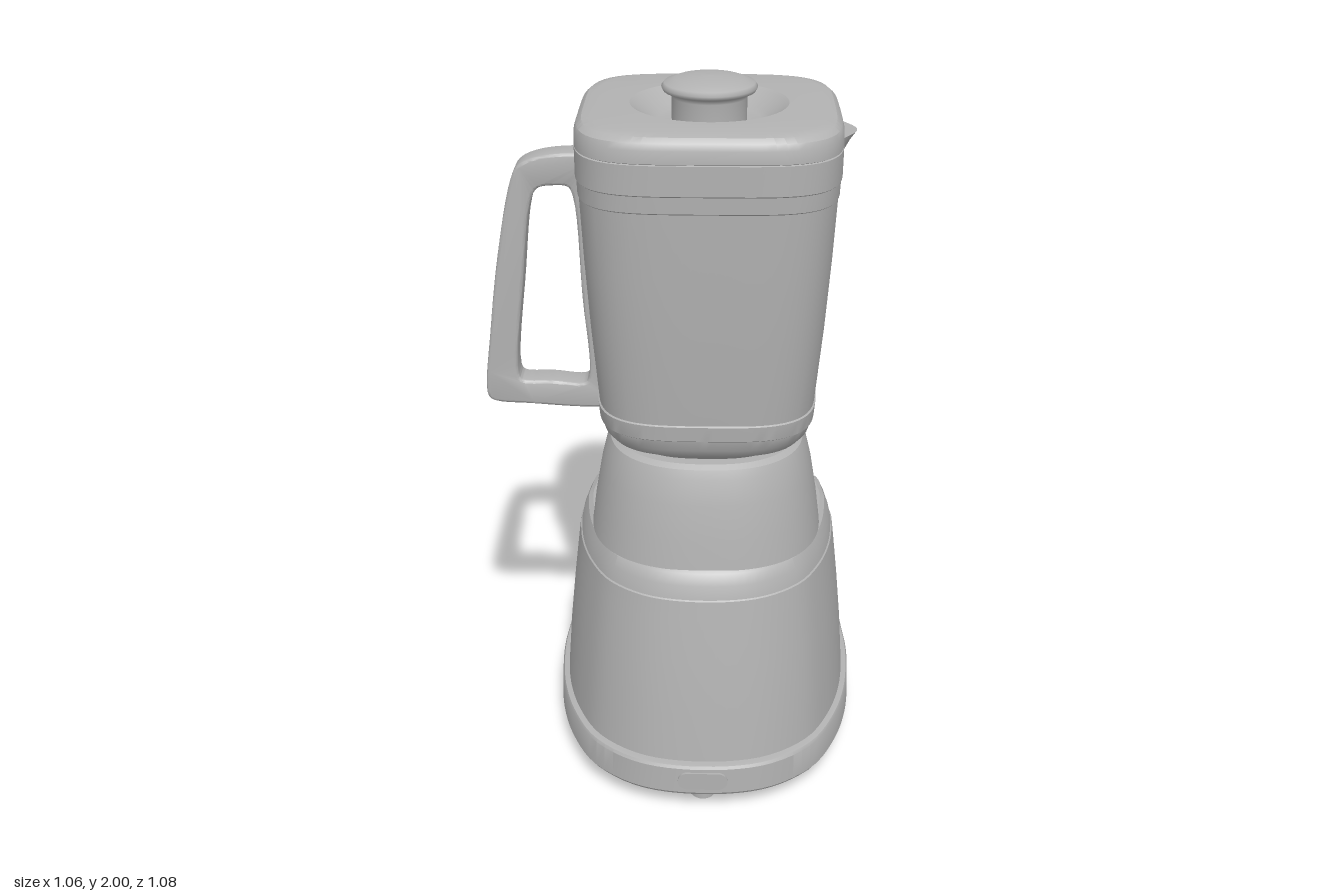
import * as THREE from 'three';
import { toCreasedNormals } from 'three/addons/utils/BufferGeometryUtils.js';

const CX = 0.082, CZ = 0.078; // jar axis
const V = (x, y, z) => new THREE.Vector3(x, y, z);
const lerp = THREE.MathUtils.lerp;

// Skin a stack of equal-length rings; optional end caps
function loft(rings, capBottom = true, capTop = true, crease = 0.5) {
  const n = rings[0].length, pos = [], idx = [];
  rings.forEach(r => r.forEach(p => pos.push(p.x, p.y, p.z)));
  for (let i = 0; i < rings.length - 1; i++) {
    for (let j = 0; j < n; j++) {
      const k = (j + 1) % n, a = i * n + j, b = i * n + k;
      idx.push(a, a + n, b, b, a + n, b + n);
    }
  }
  const cap = (start, ring, up) => {
    const c = ring.reduce((s, p) => s.add(p), V(0, 0, 0)).divideScalar(n);
    const ci = pos.length / 3;
    pos.push(c.x, c.y, c.z);
    for (let j = 0; j < n; j++) {
      const a = start + j, b = start + (j + 1) % n;
      if (up) idx.push(ci, b, a); else idx.push(ci, a, b);
    }
  };
  if (capBottom) cap(0, rings[0], false);
  if (capTop) cap((rings.length - 1) * n, rings[rings.length - 1], true);
  const g = new THREE.BufferGeometry();
  g.setAttribute('position', new THREE.Float32BufferAttribute(pos, 3));
  g.setIndex(idx);
  return toCreasedNormals(g, crease);
}

// Superellipse ring: power 2 is a circle, higher is squarer
function squircle(y, hx, hz, power, cx = CX, cz = CZ, n = 96) {
  return Array.from({ length: n }, (_, i) => {
    const t = i / n * Math.PI * 2, c = Math.cos(t), s = Math.sin(t);
    const r = (Math.abs(c) ** power + Math.abs(s) ** power) ** (-1 / power);
    return V(cx + hx * r * c, y, cz + hz * r * s);
  });
}

// Smooth closed outline from half a plan (back to front), mirrored about x
function outline(half, n = 96) {
  const mirror = half.slice(1, -1).reverse().map(([x, z]) => [-x, z]);
  const pts = [...half, ...mirror].map(([x, z]) => V(x, 0, z));
  return new THREE.CatmullRomCurve3(pts, true, 'centripetal').getSpacedPoints(n).slice(0, n);
}

export function createModel() {
  const root = new THREE.Group();
  const grey = new THREE.MeshStandardMaterial({ color: 0xb2b2b2 });
  const greySheet = new THREE.MeshStandardMaterial({ color: 0xb2b2b2, side: THREE.DoubleSide });
  const add = (name, geo, mat = grey) => {
    const m = new THREE.Mesh(geo, mat);
    m.name = name;
    root.add(m);
    return m;
  };

  // Base: skirt and body share one footprint, scaled per level
  const foot = outline([[0, -0.54], [0.27, -0.508], [0.35, -0.48], [0.415, -0.4], [0.438, -0.21],
    [0.444, -0.07], [0.426, 0.13], [0.381, 0.285], [0.311, 0.41], [0.18, 0.505], [0, 0.535]]);
  const level = ([y, w, front, back]) => foot.map(p =>
    V(CX + p.x * w / 0.444, y, p.z > 0 ? p.z * front / 0.535 : p.z * back / 0.54));
  add('skirt', loft([[0.06, 0.438, 0.53, 0.536], [0.068, 0.444, 0.535, 0.54], [0.145, 0.441, 0.532, 0.524],
    [0.153, 0.437, 0.527, 0.52], [0.155, 0.43, 0.518, 0.515]].map(level)));
  add('body', loft([[0.15, 0.422, 0.507, 0.485], [0.3, 0.411, 0.49, 0.42], [0.45, 0.396, 0.47, 0.355],
    [0.58, 0.381, 0.45, 0.295], [0.638, 0.374, 0.441, 0.272], [0.641, 0.37, 0.437, 0.27],
    [0.68, 0.362, 0.428, 0.255], [0.71, 0.349, 0.413, 0.245], [0.72, 0.335, 0.4, 0.235]].map(level)));

  // Control console blending into the back of the body
  const consoleRing = ([y, rear, valley]) => {
    const r = -rear, v = -valley, w = lerp(1.16, 1, y / 0.72);
    return outline([[0, r], [0.2 * w, r + 0.015], [0.24 * w, lerp(r + 0.03, v, 0.3)],
      [0.258 * w, lerp(r + 0.03, v, 0.75)], [0.31, v + 0.03], [0.3, v + 0.15], [0, v + 0.16]])
      .map(p => V(CX + p.x, y, p.z));
  };
  const consoleRings = [[0.07, 0.537, 0.5], [0.155, 0.522, 0.48], [0.4, 0.49, 0.375], [0.6, 0.462, 0.29],
    [0.66, 0.452, 0.265], [0.7, 0.441, 0.25], [0.716, 0.43, 0.243], [0.722, 0.418, 0.24]].map(consoleRing);
  add('console', loft(consoleRings, true, false));

  // Console top with a sunken display tray
  const rim = squircle(0.722, 0.103, 0.055, 7, CX, -0.34, 48);
  const floor = squircle(0.692, 0.082, 0.04, 7, CX, -0.342, 48);
  const flat = ring => ring.map(p => new THREE.Vector2(p.x, -p.z));
  const topShape = new THREE.Shape(flat(consoleRings[consoleRings.length - 1]));
  topShape.holes.push(new THREE.Path(flat(rim)));
  add('consoleTop', new THREE.ShapeGeometry(topShape).rotateX(-Math.PI / 2).translate(0, 0.722, 0));
  add('displayTray', loft([rim, floor], false, true));
  add('display', new THREE.BoxGeometry(0.142, 0.008, 0.054)).position.set(CX, 0.695, -0.343);

  // Raised control panel following the curved back
  const rearZ = y => -lerp(0.536, 0.462, (y - 0.08) / 0.52);
  const panel = new THREE.PlaneGeometry(2, 1, 16, 8), pp = panel.attributes.position;
  for (let i = 0; i < pp.count; i++) {
    const v = pp.getY(i) + 0.5, y = lerp(0.085, 0.61, v), x = pp.getX(i) * lerp(0.272, 0.2, v);
    pp.setXYZ(i, CX - x, y, rearZ(y) + 0.375 * x * x - 0.007);
  }
  panel.computeVertexNormals();
  add('controlPanel', panel, greySheet);

  // Domed buttons with small indicator dots
  const buttonGeo = new THREE.LatheGeometry([[1, 0], [1, 0.55], [0.88, 0.8], [0.5, 0.95], [0, 1]]
    .map(([x, y]) => new THREE.Vector2(x, y)), 28);
  const button = (name, x, y, rx, ry, h) => {
    const m = add(name, buttonGeo);
    m.position.set(CX + x, y, rearZ(y) + 0.375 * x * x);
    m.rotation.x = -(Math.PI / 2 - 0.14);
    m.scale.set(rx, h, ry);
  };
  [[0.505, 0.086, 0.046, 0.03], [0.375, 0.066, 0.036, 0.026], [0.25, 0.066, 0.036, 0.026]]
    .forEach(([y, x, rx, ry]) => [-1, 1].forEach(s => {
      button('button', s * x, y, rx, ry, 0.036);
      button('indicatorDot', s * x - 0.058, y + 0.025, 0.006, 0.006, 0.012);
    }));

  // Cord slot on the front of the skirt
  const slot = new THREE.Shape();
  slot.absarc(0.043, 0, 0.027, -Math.PI / 2, Math.PI / 2);
  slot.absarc(-0.043, 0, 0.027, Math.PI / 2, Math.PI * 1.5);
  add('cordSlot', new THREE.ExtrudeGeometry(slot, { depth: 0.009, bevelEnabled: false }))
    .position.set(CX, 0.108, 0.528);

  // Feet
  [[0, 0.44], [-0.285, 0.31], [0.285, 0.31], [-0.285, -0.36], [0.285, -0.36]].forEach(([x, z]) =>
    add('foot', new THREE.CylinderGeometry(0.034, 0.034, 0.07, 24)).position.set(CX + x, 0.035, z));

  // Neck, jar and lid: stacked rings of [height, half width, squareness]
  const stack = list => loft(list.map(([y, h, p]) => squircle(y, h, h, p)));
  add('neck', stack([[0.715, 0.326, 2.4], [0.8, 0.315, 2.4], [0.9, 0.298, 2.4], [0.97, 0.281, 2.4],
    [0.995, 0.271, 2.4], [1.005, 0.255, 2.4]]));
  add('jar', stack([[1.0, 0.215, 2.6], [1.015, 0.235, 2.8], [1.035, 0.268, 3.1], [1.06, 0.285, 3.3],
    [1.09, 0.292, 3.5], [1.093, 0.296, 3.5], [1.135, 0.3, 3.5], [1.138, 0.296, 3.5], [1.35, 0.314, 3.7],
    [1.55, 0.327, 3.9], [1.732, 0.336, 4.1], [1.735, 0.339, 4.1], [1.778, 0.341, 4.1],
    [1.781, 0.344, 4.1], [1.858, 0.345, 4.1], [1.861, 0.338, 4.1]]));
  add('lid', stack([[1.858, 0.338, 4.1], [1.862, 0.345, 4.1], [1.895, 0.344, 4.1], [1.912, 0.338, 4.1],
    [1.924, 0.325, 4.1], [1.93, 0.3, 4], [1.931, 0.207, 2], [1.925, 0.197, 2], [1.895, 0.155, 2],
    [1.885, 0.135, 2], [1.885, 0.09, 2]]));
  add('lidKnob', new THREE.LatheGeometry([[0.098, 1.88], [0.098, 1.945], [0.105, 1.957], [0.12, 1.962],
    [0.125, 1.972], [0.118, 1.982], [0.09, 1.992], [0.045, 1.998], [0, 2]]
    .map(([x, y]) => new THREE.Vector2(x, y)), 48)).position.set(CX, 0, CZ);

  // Pouring spout: pointed at the top, fading into the jar below
  const spoutRing = (y, tip) => Array.from({ length: 25 }, (_, i) => {
    const t = i / 12 - 1;
    return V(0.405 + tip * (0.5 + 0.5 * Math.cos(Math.PI * t)) ** 1.2, y, CZ + 0.16 * t);
  });
  add('spout', loft([[1.783, 0.015], [1.81, 0.028], [1.84, 0.046], [1.86, 0.062]]
    .map(([y, t]) => spoutRing(y, t))));

  // Handle with a rounded opening
  const loop = (Type, pts) => {
    const curve = new THREE.CatmullRomCurve3(pts.map(([x, y]) => V(x, y, 0)), true, 'centripetal');
    return new Type(curve.getPoints(80).slice(0, 80).map(p => new THREE.Vector2(p.x, p.y)));
  };
  const grip = loop(THREE.Shape, [[-0.22, 1.785], [-0.27, 1.793], [-0.37, 1.782], [-0.415, 1.76], [-0.434, 1.72],
    [-0.475, 1.52], [-0.505, 1.3], [-0.522, 1.11], [-0.512, 1.097], [-0.4, 1.087], [-0.24, 1.079],
    [-0.19, 1.085], [-0.185, 1.11], [-0.2, 1.4], [-0.215, 1.75]]);
  grip.holes.push(loop(THREE.Path, [[-0.268, 1.68], [-0.285, 1.715], [-0.33, 1.72], [-0.375, 1.71], [-0.397, 1.67],
    [-0.425, 1.45], [-0.448, 1.17], [-0.435, 1.147], [-0.35, 1.143], [-0.25, 1.14], [-0.236, 1.17],
    [-0.25, 1.4]]));
  const gripGeo = new THREE.ExtrudeGeometry(grip, { depth: 0.066, bevelThickness: 0.01, bevelSize: 0.008,
    bevelSegments: 3 });
  add('handle', toCreasedNormals(gripGeo, 0.6)).position.z = CZ - 0.033;

  return root;
}
